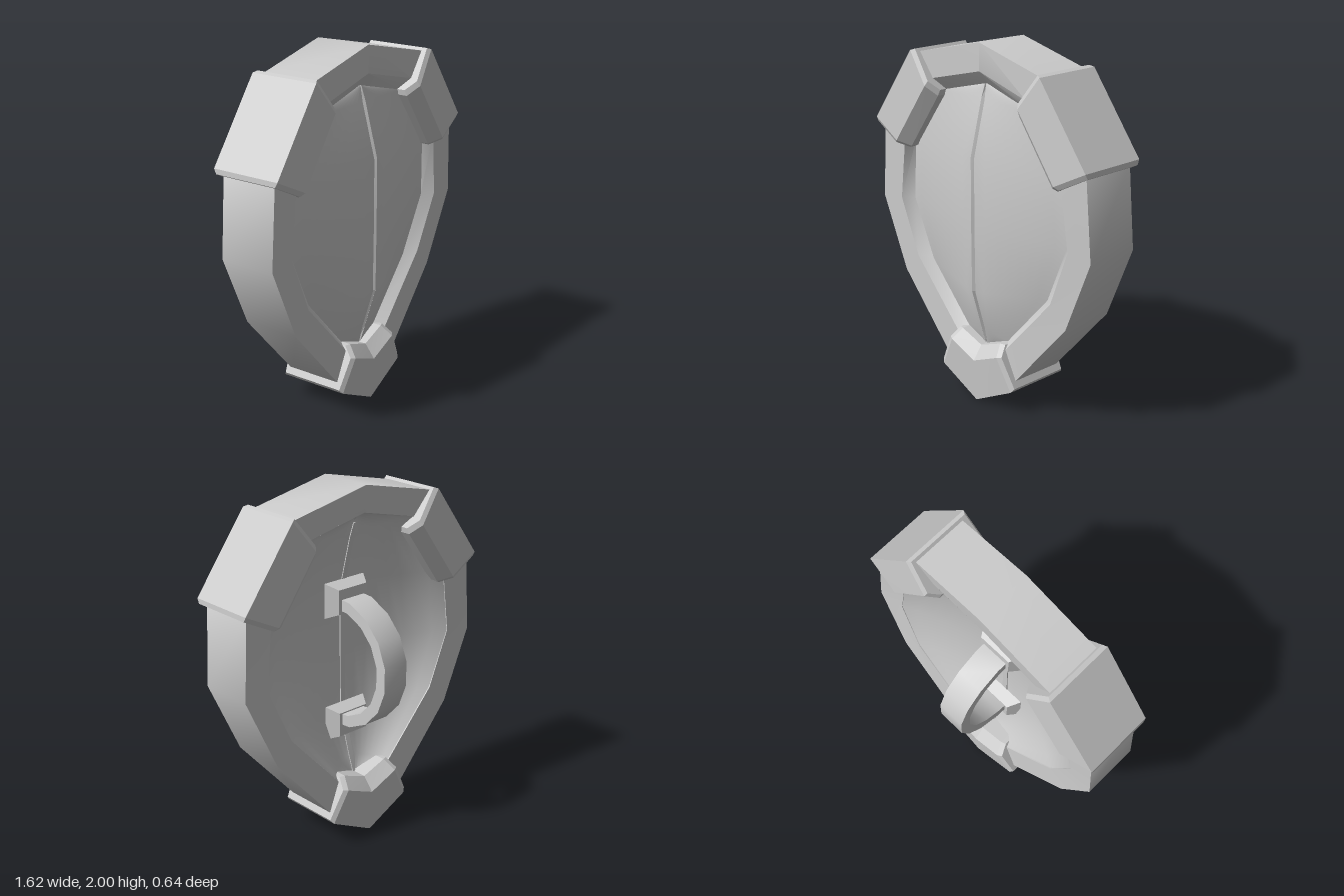
import * as THREE from 'three';
import { toCreasedNormals } from 'three/addons/utils/BufferGeometryUtils.js';

const material = new THREE.MeshStandardMaterial({ color: 0xcccccc });
const thinMaterial = new THREE.MeshStandardMaterial({ color: 0xcccccc, side: THREE.DoubleSide });

// Joins equal-length sections; ring repeats the first section, otherwise the ends are capped.
function loft(sections, { ring = false, crease = 0.5 } = {}) {
  const n = sections[0].length;
  const verts = sections.flat(2);
  const index = [];
  const count = ring ? sections.length : sections.length - 1;
  for (let i = 0; i < count; i++) {
    const a = i * n, b = ((i + 1) % sections.length) * n;
    for (let j = 0; j < n; j++) {
      const k = (j + 1) % n;
      index.push(a + j, b + j, b + k, a + j, b + k, a + k);
    }
  }
  if (!ring) {
    const last = (sections.length - 1) * n;
    for (let j = 1; j < n - 1; j++) {
      index.push(0, j, j + 1, last, last + j + 1, last + j);
    }
  }
  // Turn the solid right side out when its signed volume is negative
  const p = (i) => new THREE.Vector3().fromArray(verts, i * 3);
  let volume = 0;
  for (let i = 0; i < index.length; i += 3) {
    volume += p(index[i]).dot(p(index[i + 1]).cross(p(index[i + 2])));
  }
  if (volume < 0) index.reverse();
  const g = new THREE.BufferGeometry();
  g.setAttribute('position', new THREE.Float32BufferAttribute(verts, 3));
  g.setIndex(index);
  return toCreasedNormals(g, crease);
}

// Half outlines from top centre to bottom centre
const OUTER = [[0, 2], [0.48, 1.89], [0.78, 1.46], [0.81, 1.01], [0.63, 0.6], [0.25, 0.17], [0, 0.05]];
const MIDDLE = [[0, 1.85], [0.37, 1.76], [0.61, 1.4], [0.655, 1.03], [0.52, 0.71], [0.19, 0.35], [0, 0.25]];
const INNER = [[0, 1.78], [0.36, 1.69], [0.58, 1.38], [0.6, 1.03], [0.45, 0.7], [0.15, 0.37], [0, 0.3]];
const SHIFT = [0, 0.03, 0.03, 0.02, 0, 0, 0];
// Height and depth of the front ridge, and how far behind it the hollow back lies
const RIDGE = [[1.78, 0.185], [1.7, 0.205], [1.4, 0.283], [1.03, 0.285], [0.65, 0.283], [0.42, 0.215], [0.3, 0.185]];
const THICKNESS = 0.18;
const FRONT_EDGE_Z = 0.175, BACK_EDGE_Z = -0.075;

const shiftAt = (i, side) => (side > 0 ? SHIFT[i] : 0);

function rimSection(i, side) {
  const s = shiftAt(i, side);
  const at = ([x, y], z) => [x * side, y, z + s];
  return [at(OUTER[i], -0.09), at(OUTER[i], 0.23), at(MIDDLE[i], 0.23),
    at(INNER[i], FRONT_EDGE_Z), at(INNER[i], 0.12), at(MIDDLE[i], BACK_EDGE_Z)];
}

// One half of the domed front or hollow back, running from the centre ridge to the rim
function panelHalf(side, border, edgeZ, offset, power) {
  const cols = 8, pos = [], index = [];
  RIDGE.forEach(([ry, rz], i) => {
    const gap = i > 0 && i < 6 ? 0.013 : 0.004;
    const [ex, ey] = border[i];
    const ez = edgeZ + shiftAt(i, side);
    for (let c = 0; c <= cols; c++) {
      const t = c / cols;
      const x = gap + (Math.max(ex + 0.005, gap) - gap) * t;
      const z = ez + (rz - offset - ez) * (1 - t ** power);
      pos.push(side * x, ry + (ey - ry) * t, z);
    }
  });
  const w = cols + 1;
  for (let i = 0; i < RIDGE.length - 1; i++) {
    for (let c = 0; c < cols; c++) {
      const a = i * w + c, b = a + w;
      if (side > 0) index.push(a, b, b + 1, a, b + 1, a + 1);
      else index.push(a, b + 1, b, a, a + 1, b + 1);
    }
  }
  const g = new THREE.BufferGeometry();
  g.setAttribute('position', new THREE.Float32BufferAttribute(pos, 3));
  g.setIndex(index);
  g.computeVertexNormals();
  return g;
}

// Bracket around the rim: stations are [outer, inner] points, with a small lip at both ends
function clamp(stations, shift) {
  const section = ([o, i]) => {
    const at = (t, z) => [o[0] + (i[0] - o[0]) * t, o[1] + (i[1] - o[1]) * t, z + shift];
    return [at(0, -0.125), at(0, 0.27), at(0.76, 0.288), at(1, 0.23), at(1, -0.08), at(0.76, -0.143)];
  };
  const lip = (end, next) => {
    const main = section(end);
    const mid = (s) => new THREE.Vector2((s[0][0] + s[1][0]) / 2, (s[0][1] + s[1][1]) / 2);
    const c = mid(end);
    const d = c.clone().sub(mid(next)).normalize().multiplyScalar(0.025);
    return main.map(([x, y, z]) => [
      c.x + (x - c.x) * 0.9 + d.x,
      c.y + (y - c.y) * 0.9 + d.y,
      shift + 0.073 + (z - shift - 0.073) * 0.93,
    ]);
  };
  const n = stations.length;
  return loft([
    lip(stations[0], stations[1]),
    ...stations.map(section),
    lip(stations[n - 1], stations[n - 2]),
  ], { crease: 0.25 });
}

// Grip: short legs joined by a half ring, extruded across the width
function gripGeometry() {
  const cy = 1, cz = 0.05, steps = 9;
  const arc = (r) => Array.from({ length: steps + 1 }, (_, i) => {
    const a = THREE.MathUtils.degToRad(-7 + (194 * i) / steps);
    return new THREE.Vector2(-cz + r * Math.sin(a), cy + r * Math.cos(a));
  });
  const shape = new THREE.Shape([...arc(0.375), ...arc(0.31).reverse()]);
  const g = new THREE.ExtrudeGeometry(shape, { depth: 0.16, bevelEnabled: false });
  g.translate(0, 0, -0.08);
  g.rotateY(Math.PI / 2);
  return toCreasedNormals(g, 0.5);
}

export function createModel() {
  const model = new THREE.Group();
  const add = (name, geometry, mat = material) => {
    const mesh = new THREE.Mesh(geometry, mat);
    mesh.name = name;
    model.add(mesh);
    return mesh;
  };

  // Rim: down the left side, back up the right
  const sections = [];
  for (let i = 0; i < 7; i++) sections.push(rimSection(i, 1));
  for (let i = 5; i > 0; i--) sections.push(rimSection(i, -1));
  add('rim', loft(sections, { ring: true, crease: 0.65 }));

  // Domed front, hollow back and the seam that runs through both
  for (const [name, side] of [['left', 1], ['right', -1]]) {
    add(name + 'FrontPanel', panelHalf(side, INNER, FRONT_EDGE_Z, 0, 1.2), thinMaterial);
    add(name + 'BackPanel', panelHalf(side, MIDDLE, BACK_EDGE_Z, THICKNESS, 2.3), thinMaterial);
  }
  add('centreSeam', loft(RIDGE.map(([y, z], i) => {
    const w = i > 0 && i < 6 ? 0.016 : 0.007;
    const back = z - THICKNESS - 0.006;
    return [[-w, y, back], [w, y, back], [w, y, z - 0.002], [0, y, z - 0.018], [-w, y, z - 0.002]];
  }), { crease: 0.2 }));

  // Upper corner brackets and the pointed lower one
  for (const side of [1, -1]) {
    const m = ([x, y]) => [x * side, y];
    add(side > 0 ? 'upperLeftBracket' : 'upperRightBracket', clamp([
      [m([0.5, 1.9]), m([0.325, 1.67])],
      [m([0.81, 1.48]), m([0.555, 1.35])],
    ], side > 0 ? 0.03 : 0));
  }
  add('lowerBracket', clamp([
    [[-0.27, 0.135], [-0.15, 0.375]],
    [[0, 0], [0, 0.32]],
    [[0.27, 0.135], [0.15, 0.375]],
  ], 0));

  // Grip and its tapered mounts on the hollow back
  add('grip', gripGeometry());
  for (const [name, y] of [['upperGripMount', 1.355], ['lowerGripMount', 0.635]]) {
    const g = new THREE.CylinderGeometry(0.14, 0.2, 0.07, 4).toNonIndexed();
    g.rotateY(Math.PI / 4);
    g.rotateX(-Math.PI / 2);
    g.scale(1, 0.7, 1);
    g.computeVertexNormals();
    add(name, g).position.set(0, y, 0.05);
  }
  return model;
}
